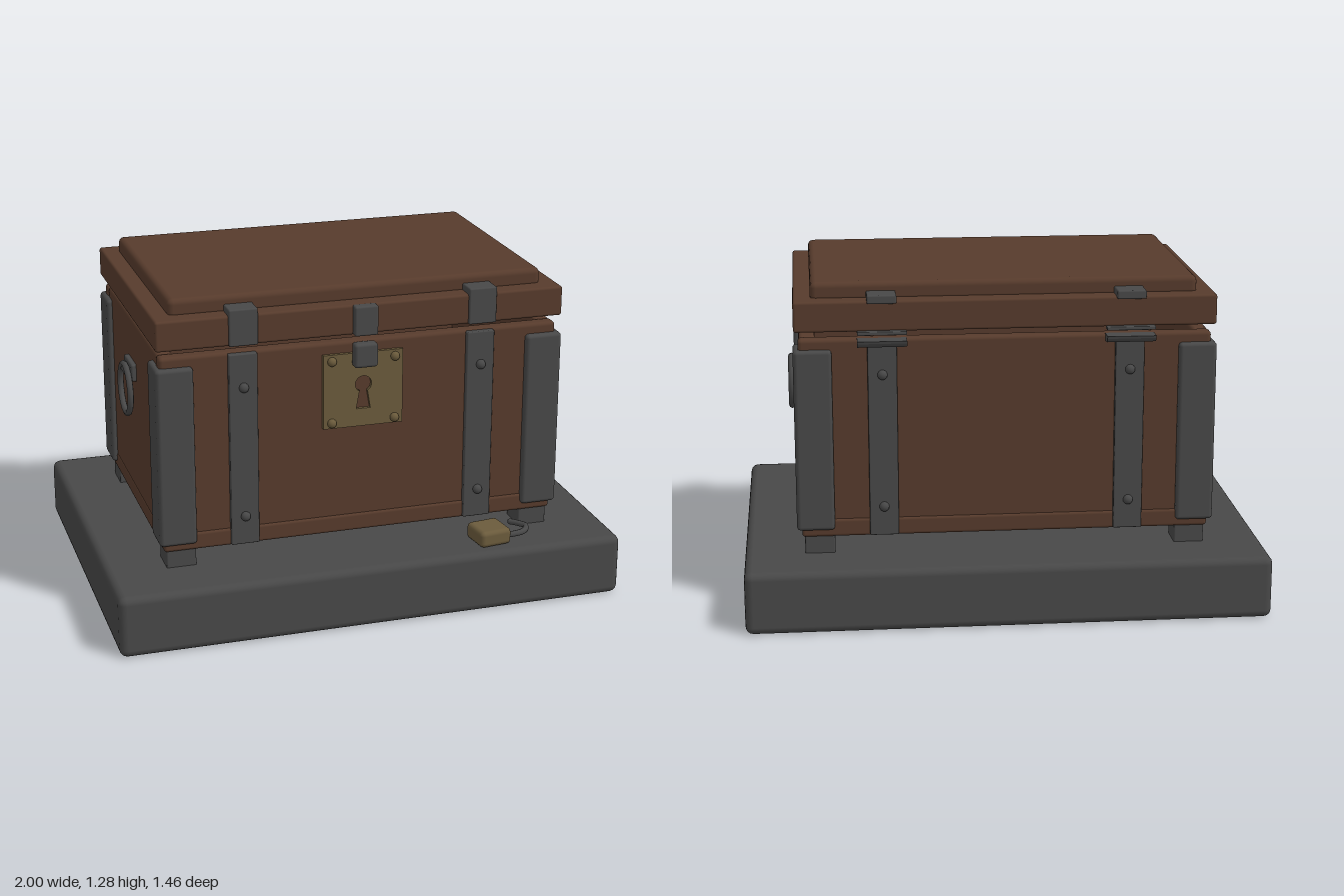
import * as THREE from 'three';
import { RoundedBoxGeometry } from 'three/addons/geometries/RoundedBoxGeometry.js';

const material = (name, color) => {
  const m = new THREE.MeshStandardMaterial({ color });
  m.name = name;
  return m;
};

export function createModel() {
  const wood = material('brown wood', 0x573b2c);
  const iron = material('dark iron', 0x484848);
  const brass = material('aged brass', 0x6b5b3c);
  const root = new THREE.Group();
  root.name = 'chest';

  const add = (name, geometry, mat, parent = root) => {
    const mesh = new THREE.Mesh(geometry, mat);
    mesh.name = name;
    parent.add(mesh);
    return mesh;
  };
  // Box with softened edges, given by its limits on each axis
  const block = (name, mat, [x0, x1], [y0, y1], [z0, z1], r = 0.01, parent = root) => {
    const size = [x1 - x0, y1 - y0, z1 - z0];
    const mesh = add(name, new RoundedBoxGeometry(...size, 2, Math.min(r, Math.min(...size) * 0.45)), mat, parent);
    mesh.position.set((x0 + x1) / 2, (y0 + y1) / 2, (z0 + z1) / 2);
    return mesh;
  };
  // Limits of an interval mirrored by sign
  const side = (s, a, b) => (s > 0 ? [a, b] : [-b, -a]);
  const rivet = (mat, x, y, z, s, r) => {
    const mesh = add('rivet', new THREE.SphereGeometry(r, 12, 8), mat);
    mesh.position.set(x, y, z);
    mesh.scale.z = 0.9;
    return mesh;
  };

  // Plinth
  block('plinth', iron, [-1, 1], [0, 0.243], [-0.73, 0.73], 0.03);

  // Hollow wooden body with a slightly wider bottom board
  block('bottomBoard', wood, [-0.78, 0.78], [0.31, 0.38], [-0.515, 0.515], 0.012);
  for (const s of [-1, 1]) {
    block('longWall', wood, [-0.78, 0.78], [0.35, 1.08], side(s, 0.45, 0.508), 0.015);
    block('endWall', wood, side(s, 0.715, 0.777), [0.35, 1.08], [-0.455, 0.455], 0.015);
  }

  // Lid, floating just above the rim
  block('lid', wood, [-0.795, 0.795], [1.11, 1.226], [-0.53, 0.53], 0.01);
  block('lidPanel', wood, [-0.73, 0.73], [1.21, 1.285], [-0.46, 0.46], 0.022);

  // Feet and corner angles
  for (const sx of [-1, 1]) for (const sz of [-1, 1]) {
    block('foot', iron, side(sx, 0.655, 0.77), [0.235, 0.325], side(sz, 0.385, 0.505), 0.006);
    block('cornerPlate', iron, side(sx, 0.655, 0.797), [0.34, 1.04], side(sz, 0.49, 0.533), 0.014);
    block('cornerSidePlate', iron, side(sx, 0.755, 0.799), [0.34, 1.04], side(sz, 0.385, 0.531), 0.014);
  }

  // Straps, lid clasps and rear hinges
  const hingeShape = new THREE.Shape();
  hingeShape.moveTo(-0.5, 1.08);
  hingeShape.lineTo(-0.566, 1.08);
  hingeShape.quadraticCurveTo(-0.562, 1.055, -0.54, 1.053);
  hingeShape.lineTo(-0.5, 1.053);
  for (const sx of [-1, 1]) {
    const x = sx * 0.467, across = [x - 0.055, x + 0.055];
    for (const sz of [-1, 1]) {
      block('strap', iron, across, [0.315, 1.075], side(sz, 0.5, 0.528), 0.005);
      for (const y of [0.43, 0.945]) rivet(iron, x, y, sz * 0.533, sz, 0.019);
      block('lidStrap', iron, across, [1.218, 1.251], side(sz, 0.455, sz > 0 ? 0.542 : 0.552), 0.006);
    }
    block('lidClasp', iron, across, [1.11, 1.245], [0.515, 0.542], 0.006);
    // Hinge leaf below the gap and its matching edge above
    const hinge = add('hinge', new THREE.ExtrudeGeometry(hingeShape, { depth: 0.185, bevelEnabled: false, curveSegments: 5 }), iron);
    hinge.rotation.y = -Math.PI / 2;
    hinge.position.x = x + 0.0925;
    block('hingeEdge', iron, [x - 0.0925, x + 0.0925], [1.1, 1.114], [-0.555, -0.515], 0.004);
  }

  // Lock plate with a cut keyhole
  const plate = new THREE.Shape();
  plate.moveTo(-0.158, 0.742);
  plate.lineTo(0.156, 0.742);
  plate.lineTo(0.156, 1.035);
  plate.lineTo(-0.158, 1.035);
  const keyhole = new THREE.Path();
  keyhole.moveTo(-0.028, 0.812);
  keyhole.lineTo(-0.015, 0.885);
  keyhole.absarc(0, 0.91, 0.032, Math.PI * 1.33, -Math.PI * 0.33, true);
  keyhole.lineTo(0.028, 0.812);
  plate.holes.push(keyhole);
  const lockPlate = add('lockPlate', new THREE.ExtrudeGeometry(plate, { depth: 0.02, bevelEnabled: false }), brass);
  lockPlate.position.z = 0.502;
  for (const x of [-0.125, 0.123]) for (const y of [0.765, 1.01]) rivet(brass, x, y, 0.527, 1, 0.018);

  // Hasp in two halves
  block('haspUpper', iron, [-0.046, 0.046], [1.11, 1.226], [0.52, 0.56], 0.008);
  block('haspLower', iron, [-0.046, 0.046], [0.985, 1.08], [0.515, 0.562], 0.012);

  // Ring handles on the ends
  for (const s of [-1, 1]) {
    const handle = new THREE.Group();
    handle.name = 'ringHandle';
    root.add(handle);
    const ring = add('ring', new THREE.TorusGeometry(0.098, 0.0125, 8, 20), iron, handle);
    ring.rotation.y = Math.PI / 2;
    ring.position.set(s * 0.808, 0.798, 0);
    block('ringBracket', iron, side(s, 0.77, 0.797), [0.845, 0.915], [-0.072, 0.072], 0.008, handle);
    const pin = add('ringPin', new THREE.CylinderGeometry(0.02, 0.02, 0.11, 10), iron, handle);
    pin.rotation.x = Math.PI / 2;
    pin.position.set(s * 0.795, 0.868, 0);
  }

  // Open padlock lying on the plinth
  const padlock = new THREE.Group();
  padlock.name = 'padlock';
  padlock.position.set(0.487, 0.277, 0.618);
  padlock.rotation.y = 0.13;
  root.add(padlock);
  block('padlockBody', brass, [-0.066, 0.066], [-0.033, 0.033], [-0.066, 0.066], 0.018, padlock);
  const shacklePath = new THREE.CatmullRomCurve3([
    [0.05, 0.048], [0.115, 0.046], [0.145, 0.03], [0.164, -0.005], [0.15, -0.035], [0.13, -0.062],
  ].map(([x, z]) => new THREE.Vector3(x, 0, z)));
  add('shackle', new THREE.TubeGeometry(shacklePath, 20, 0.012, 8), iron, padlock);
  const tip = add('shackleTip', new THREE.SphereGeometry(0.012, 8, 6), iron, padlock);
  tip.position.set(0.13, 0, -0.062);

  return root;
}
